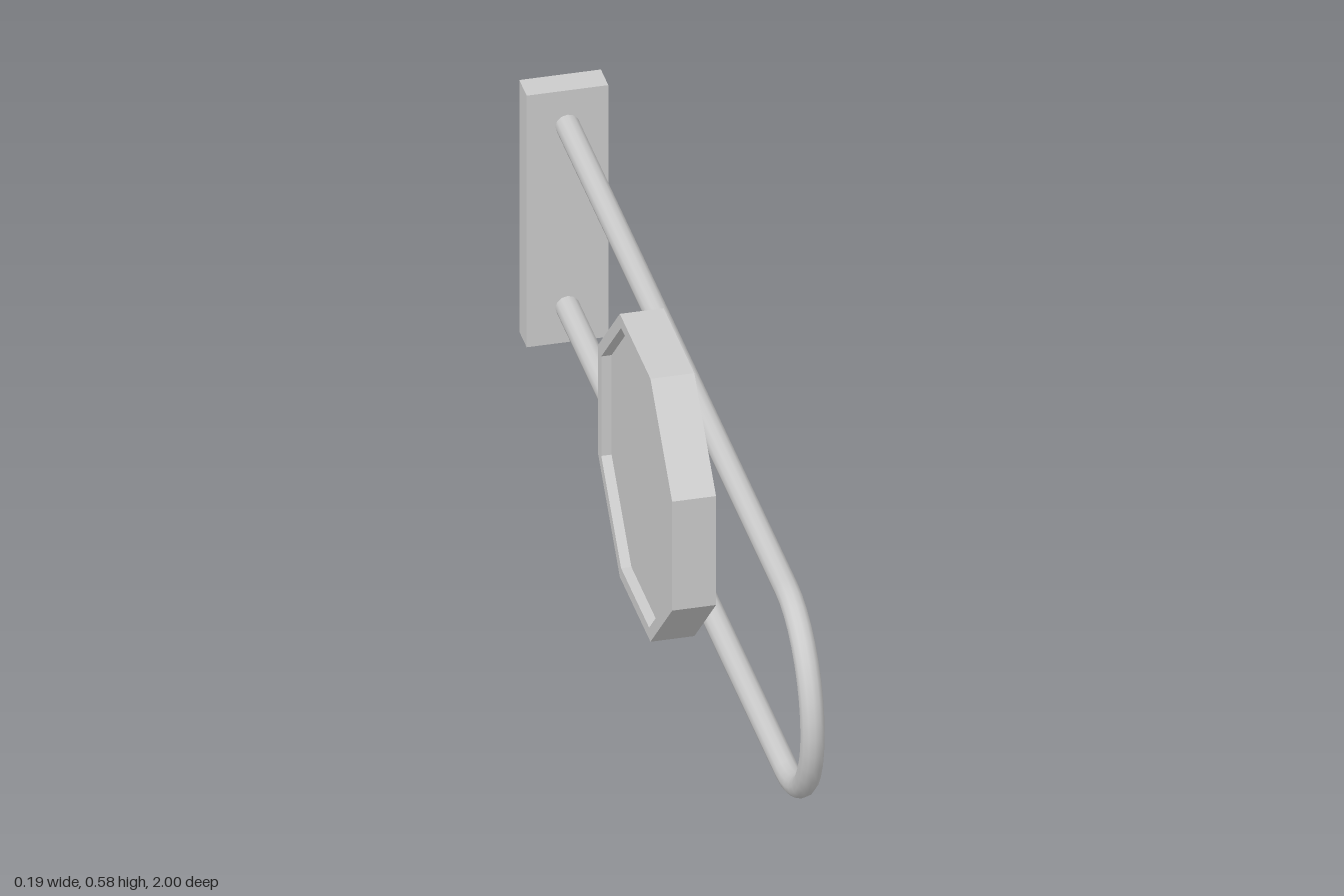
import * as THREE from 'three';

export function createModel() {
  const model = new THREE.Group();
  const smooth = new THREE.MeshStandardMaterial({ color: 0xcccccc });
  const flat = new THREE.MeshStandardMaterial({ color: 0xcccccc, flatShading: true });

  function add(parent, name, geometry, material, x, y, z) {
    const mesh = new THREE.Mesh(geometry, material);
    mesh.name = name;
    mesh.position.set(x, y, z);
    parent.add(mesh);
    return mesh;
  }

  // Wall plate at the back
  const plateHeight = 0.555, plateFront = -0.942;
  add(model, 'wallPlate', new THREE.BoxGeometry(0.158, plateHeight, 0.058), flat,
    0.014, plateHeight / 2, -0.971);

  // Bent rail: two straight bars joined by a half-circle bend
  const railX = 0.014, railY = 0.278, tubeRadius = 0.0235, bendRadius = 0.2;
  const bendZ = 1 - bendRadius - tubeRadius;
  const barLength = bendZ - plateFront;
  const rail = new THREE.Group();
  rail.name = 'rail';
  model.add(rail);
  for (const side of [1, -1]) {
    const bar = new THREE.CylinderGeometry(tubeRadius, tubeRadius, barLength, 12, 1, true, Math.PI / 2);
    bar.rotateX(Math.PI / 2);
    add(rail, side > 0 ? 'upperBar' : 'lowerBar', bar, smooth,
      railX, railY + side * bendRadius, (bendZ + plateFront) / 2);
  }
  const bend = new THREE.TorusGeometry(bendRadius, tubeRadius, 12, 18, Math.PI);
  bend.rotateZ(-Math.PI / 2).rotateY(-Math.PI / 2);
  add(rail, 'railBend', bend, smooth, railX, railY, bendZ);

  // Octagonal panel: flat toward the rail, shallow recess inside a rim on the other side
  const corner = 1 / Math.cos(Math.PI / 8);
  const outer = 0.29 * corner, inner = 0.265 * corner;
  const thickness = 0.085, recess = 0.02;
  const profile = [
    [0, 0], [outer, 0], [outer, thickness], [inner, thickness],
    [inner, thickness - recess], [0, thickness - recess],
  ].map(([r, h]) => new THREE.Vector2(r, h));
  const panel = new THREE.LatheGeometry(profile, 8, Math.PI / 8);
  panel.rotateZ(Math.PI / 2);
  add(model, 'octagonPanel', panel, flat, -0.01, 0.295, 0.028);

  return model;
}
